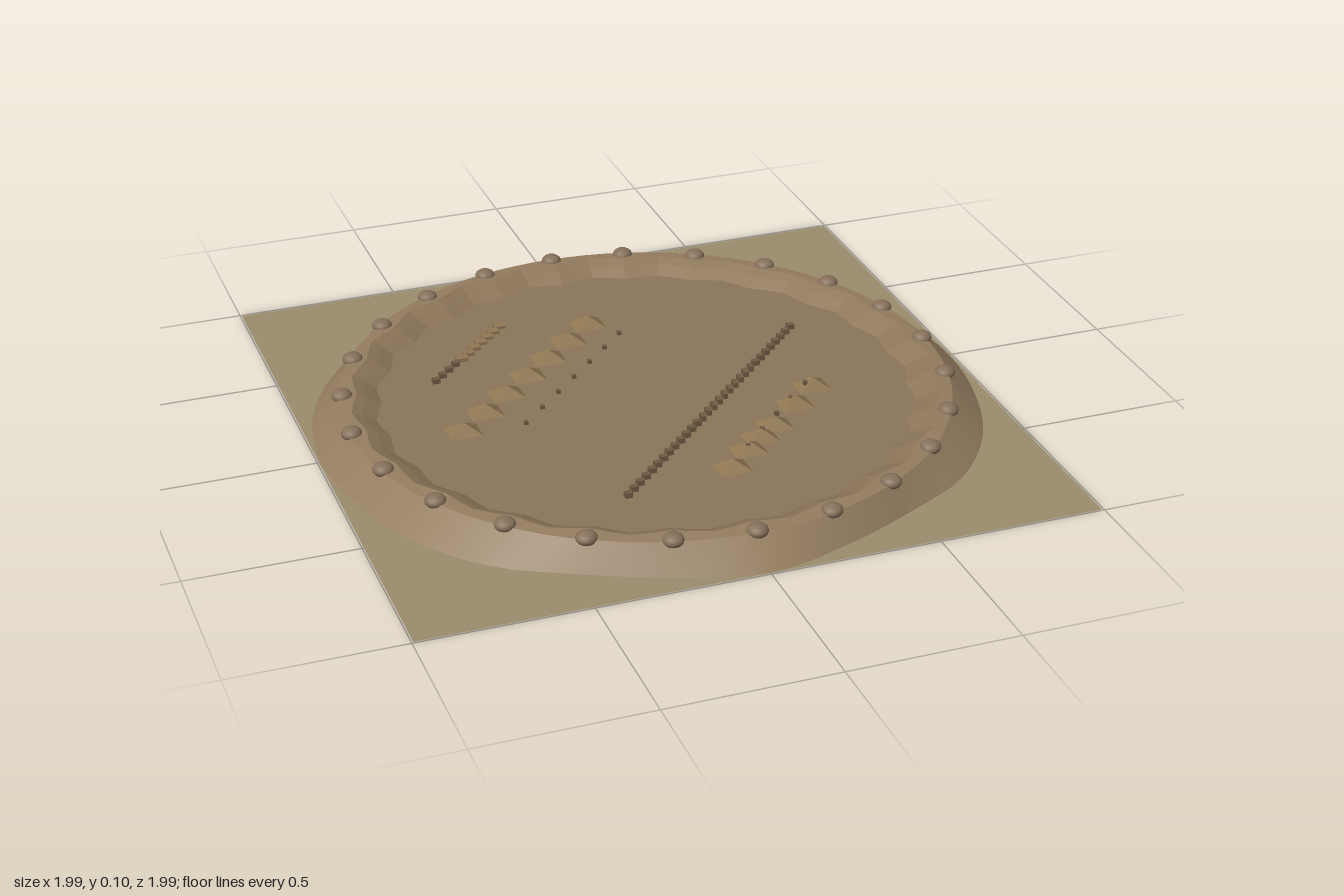
import * as THREE from 'three';

const N = 96; // samples around the earthwork
const FLOOR = 0.045;

const material = (color, extra = {}) => new THREE.MeshStandardMaterial({ color, ...extra });

// Point at an angle measured clockwise from the back (-z)
const polar = (a, r, y) => new THREE.Vector3(r * Math.sin(a), y, -r * Math.cos(a));

// Joins concentric rings, listed from the outside inwards, into one surface
function bandGeometry(rings) {
  const position = [];
  const index = [];
  rings.forEach((ring) => ring.forEach((p) => position.push(p.x, p.y, p.z)));
  for (let k = 0; k < rings.length - 1; k++) {
    for (let i = 0; i < N; i++) {
      const j = (i + 1) % N;
      const a = k * N + i, b = k * N + j, c = a + N, d = b + N;
      index.push(a, c, b, b, c, d);
    }
  }
  const geometry = new THREE.BufferGeometry();
  geometry.setAttribute('position', new THREE.Float32BufferAttribute(position, 3));
  geometry.setIndex(index);
  geometry.computeVertexNormals();
  return geometry;
}

export function createModel() {
  const group = new THREE.Group();
  const earth = material(0x947d60);
  const earthFlat = material(0x8f785b, { flatShading: true });
  const floorMat = material(0x8a755a);
  const stone = material(0x86705a);
  const roof = material(0x8f7753, { flatShading: true });
  const timber = material(0x6f5a44, { flatShading: true });

  const add = (name, geometry, mat, x = 0, y = 0, z = 0, parent = group) => {
    const mesh = new THREE.Mesh(geometry, mat);
    mesh.name = name;
    mesh.position.set(x, y, z);
    parent.add(mesh);
    return mesh;
  };
  const addGroup = (name) => {
    const g = new THREE.Group();
    g.name = name;
    group.add(g);
    return g;
  };

  // Square ground sheet
  add('ground', new THREE.PlaneGeometry(1.99, 1.99).rotateX(-Math.PI / 2),
    material(0x9b8c6d, { side: THREE.DoubleSide }));

  // Irregular foot of the bank: radii every 15 degrees from back to front, mirrored
  const half = [0.98, 0.99, 0.985, 0.955, 0.97, 0.985, 0.99, 0.99, 1.0, 0.995, 0.96, 0.965, 0.995];
  const radii = [...half, ...half.slice(1, -1).reverse()];
  const foot = new THREE.CatmullRomCurve3(
    radii.map((r, i) => polar((i * Math.PI) / 12, r, 0)), true, 'catmullrom');

  const ring = (fn) => Array.from({ length: N }, (_, i) => fn((i / N) * Math.PI * 2, i));
  const scallop = (a) => -0.011 * Math.cos(24 * a);
  const footRing = ring((a, i) => {
    const p = foot.getPoint(i / N);
    p.y = 0.001;
    return p;
  });
  const shoulderRing = ring((a) => polar(a, 0.905, 0.077));
  const crestRing = ring((a) => polar(a, 0.862 + scallop(a), 0.081));
  const middleRing = ring((a) => polar(a, 0.832 + scallop(a), 0.068));
  const innerRing = ring((a) => polar(a, 0.79 + scallop(a), FLOOR));

  // Bank: smooth outside, faceted scalloped inside
  add('outerBank', bandGeometry([footRing, shoulderRing]), earth);
  add('bankTop', bandGeometry([shoulderRing, crestRing]), earth);
  add('innerBank', bandGeometry([crestRing, middleRing, innerRing]), earthFlat);
  add('courtyardFloor', bandGeometry([innerRing, ring(() => new THREE.Vector3(0, FLOOR, 0))]), floorMat);

  // Ring of boulders on the crest
  const boulders = addGroup('boulders');
  const boulderGeo = new THREE.SphereGeometry(0.031, 16, 10).scale(1, 0.65, 1);
  for (let i = 0; i < 24; i++) {
    const p = polar((i * Math.PI) / 12, 0.895, 0.078);
    add('boulder', boulderGeo, stone, p.x, p.y, p.z, boulders);
  }

  // Pyramid-roofed huts in two diagonal rows
  const huts = addGroup('huts');
  const hutGeo = new THREE.ConeGeometry(0.07, 0.034, 4, 1).rotateY(Math.PI / 4).scale(1, 1, 0.78);
  const hut = (x, z) => add('hut', hutGeo, roof, x, FLOOR + 0.016, z, huts);
  for (let i = 0; i < 7; i++) hut(-0.575 + i * 0.093, 0.045 - i * 0.088);
  [[0.08, 0.505], [0.16, 0.425], [0.22, 0.37], [0.285, 0.315], [0.39, 0.215], [0.48, 0.125]]
    .forEach(([x, z]) => hut(x, z));

  // Small marker posts beside the huts
  const posts = addGroup('posts');
  const postGeo = new THREE.BoxGeometry(0.012, 0.012, 0.012);
  for (let i = 0; i < 7; i++) {
    add('post', postGeo, timber, -0.39 + i * 0.074, FLOOR + 0.005, 0.06 - i * 0.075, posts);
  }
  for (let i = 0; i < 5; i++) {
    add('post', postGeo, timber, 0.155 + i * 0.075, FLOOR + 0.022, 0.43 - i * 0.074, posts);
  }

  // Long diagonal fence of little blocks
  const fence = addGroup('fence');
  const blockGeo = new THREE.BoxGeometry(0.022, 0.02, 0.018);
  const slimGeo = new THREE.BoxGeometry(0.014, 0.02, 0.028);
  for (let i = 0; i < 31; i++) {
    const t = i / 30;
    const slim = t > 0.4 && t < 0.75;
    add('fenceBlock', slim ? slimGeo : blockGeo, timber,
      -0.25 + t * 0.815, FLOOR + 0.006, 0.555 - t * 0.805, fence);
  }

  // Short fence, sinking into the floor towards the back
  const shortFence = addGroup('shortFence');
  for (let i = 0; i < 11; i++) {
    add('fenceBlock', i < 4 ? blockGeo : new THREE.BoxGeometry(0.035, 0.016, 0.026),
      i < 4 ? timber : roof,
      -0.565 + i * 0.0285, FLOOR + 0.005 - i * 0.0004, -0.275 - i * 0.0285, shortFence);
  }

  return group;
}
